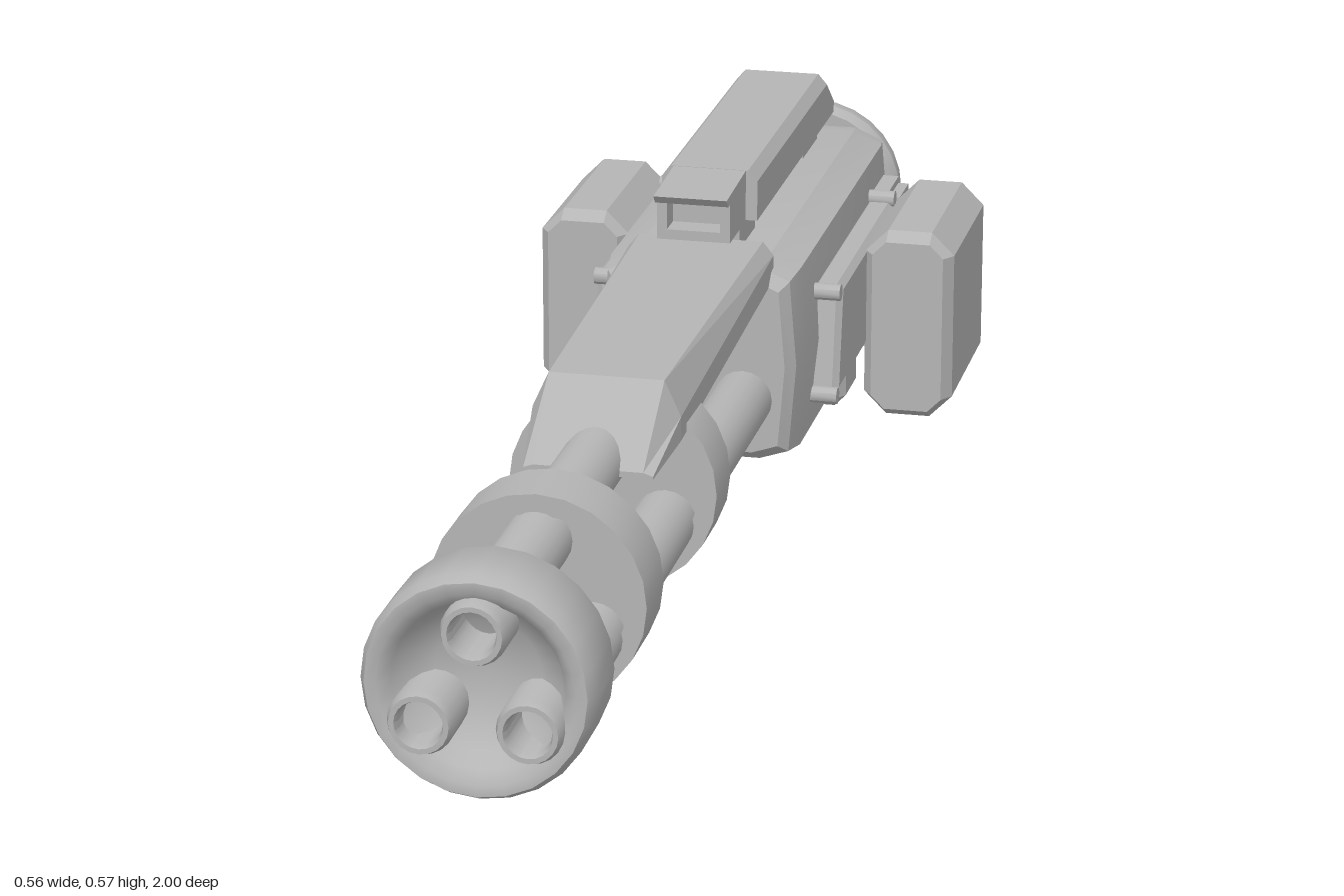
import * as THREE from 'three';
import { toCreasedNormals } from 'three/addons/utils/BufferGeometryUtils.js';

const gunmetal = new THREE.MeshStandardMaterial({ color: 0xb4b4b4, side: THREE.DoubleSide });
gunmetal.name = 'grey metal';

export function createModel() {
  const model = new THREE.Group();

  const add = (name, geometry, x = 0, y = 0, z = 0, crease = 0.6) => {
    const mesh = new THREE.Mesh(toCreasedNormals(geometry, crease), gunmetal);
    mesh.name = name;
    mesh.position.set(x, y, z);
    model.add(mesh);
    return mesh;
  };

  // Solid through matching counterclockwise xy sections, ordered by rising z
  const loft = (sections) => {
    const n = sections[0].pts.length, pos = [], idx = [];
    sections.forEach(({ z, pts }) => pts.forEach(([x, y]) => pos.push(x, y, z)));
    for (let s = 0; s < sections.length - 1; s++) {
      for (let i = 0; i < n; i++) {
        const a = s * n + i, b = s * n + (i + 1) % n;
        idx.push(a, b, b + n, a, b + n, a + n);
      }
    }
    const last = (sections.length - 1) * n;
    for (let i = 1; i < n - 1; i++) idx.push(0, i + 1, i, last, last + i, last + i + 1);
    const g = new THREE.BufferGeometry();
    g.setAttribute('position', new THREE.Float32BufferAttribute(pos, 3));
    g.setIndex(idx);
    return g;
  };

  // Box with cut corners and bevelled z ends, centred on the origin
  const chamferBox = (w, h, d, c, bx, bz = bx) => {
    const x = w / 2, y = h / 2;
    const outline = (i) => [[-x + c, -y + i], [x - c, -y + i], [x - i, -y + c], [x - i, y - c],
      [x - c, y - i], [-x + c, y - i], [-x + i, y - c], [-x + i, -y + c]];
    return loft([
      { z: -d / 2, pts: outline(bx) }, { z: -d / 2 + bz, pts: outline(0) },
      { z: d / 2 - bz, pts: outline(0) }, { z: d / 2, pts: outline(bx) },
    ]);
  };

  // Profile of [z, y] points given a thickness along x
  const sidePanel = (profile, width, bevel) => {
    const shape = new THREE.Shape(profile.map(([z, y]) => new THREE.Vector2(z, y)));
    const g = new THREE.ExtrudeGeometry(shape, {
      depth: width - 2 * bevel, bevelEnabled: bevel > 0, bevelSize: bevel,
      bevelThickness: bevel, bevelOffset: -bevel, bevelSegments: 1,
    });
    return g.translate(0, 0, -width / 2 + bevel).rotateY(-Math.PI / 2);
  };

  // Lathe turned to lie along z, profile of [radius, z]
  const turned = (profile, sides = 24) => new THREE.LatheGeometry(
    profile.map(([r, z]) => new THREE.Vector2(r, z)), sides).rotateX(Math.PI / 2);

  // Three hollow barrels
  [[0, 0.396], [-0.061, 0.287], [0.061, 0.287]].forEach(([x, y]) => {
    add('barrel', turned([[0.038, -0.15], [0.038, 0.99], [0.034, 1], [0.028, 1],
      [0.025, 0.99], [0.025, 0.9], [0, 0.9]], 20), x, y);
  });

  // Muzzle ring with a dished face, and two clamp rings
  add('muzzleRing', turned([[0, 0.91], [0.095, 0.9], [0.105, 0.885], [0.126, 0.885], [0.132, 0.893],
    [0.132, 0.975], [0.125, 0.988], [0.112, 0.988], [0.098, 0.975], [0.088, 0.95],
    [0.06, 0.93], [0, 0.92]]), 0, 0.328, 0, 0.9);
  [[0.63, 0.715], [0.27, 0.347]].forEach(([a, b]) => {
    add('clampRing', turned([[0, a + 0.015], [0.103, a + 0.015], [0.103, a], [0.127, a],
      [0.127, b], [0.103, b], [0.103, b - 0.015], [0, b - 0.015]]), 0, 0.328);
  });

  // Sloping shroud over the barrels
  const shroud = (z, w, t, bottom, mid, top) => ({ z, pts: [[-w, bottom], [w, bottom], [w, mid],
    [t, top], [-t, top], [-w, mid]] });
  add('barrelShroud', loft([
    shroud(-0.14, 0.094, 0.08, 0.44, 0.472, 0.489),
    shroud(0.375, 0.09, 0.07, 0.405, 0.435, 0.479),
    shroud(0.47, 0.078, 0.066, 0.39, 0.393, 0.397),
  ]), 0, 0, 0, 0.1);

  // Main receiver with bevelled ends
  const section = (z, k) => ({
    z, pts: [[-0.085, -0.135], [0.085, -0.135], [0.124, -0.122], [0.134, 0], [0.124, 0.117],
      [0.085, 0.134], [-0.085, 0.134], [-0.124, 0.117], [-0.134, 0], [-0.124, -0.122]]
      .map(([x, y]) => [x * k, 0.332 + y * k]),
  });
  add('receiver', loft([section(-0.785, 0.82), section(-0.765, 0.94), section(-0.72, 1),
    section(-0.17, 1), section(-0.125, 0.95), section(-0.11, 0.86)]), 0, 0, 0, 0.3);

  // Equipment on both flanks
  for (const s of [-1, 1]) {
    add('sidePlate', sidePanel([[-0.65, 0.262], [-0.225, 0.262], [-0.25, 0.402], [-0.65, 0.402]],
      0.04, 0.008), s * 0.142, 0, 0, 0.2);
    add('ammoBox', chamferBox(0.118, 0.255, 0.265, 0.03, 0.012, 0.018), s * 0.219, 0.298, -0.535, 0.2);
    add('boxMount', new THREE.BoxGeometry(0.05, 0.14, 0.16), s * 0.15, 0.32, -0.535);
    [[0.26, -0.225], [0.395, -0.24], [0.405, -0.62], [0.25, -0.62]].forEach(([y, z]) => {
      add('sideBolt', new THREE.CylinderGeometry(0.011, 0.011, 0.05, 12).rotateZ(Math.PI / 2),
        s * 0.137, y, z);
    });
    add('ventBase', new THREE.BoxGeometry(0.026, 0.09, 0.07), s * 0.136, 0.362, -0.683);
    for (let i = 0; i < 5; i++) {
      add('ventFin', new THREE.BoxGeometry(0.016, 0.008, 0.066), s * 0.155, 0.33 + i * 0.016, -0.683);
    }
  }

  // Carry rail on two feet, with a framed sight opening in front
  const rail = (z, w, t, top) => ({ z, pts: [[-w, 0.5], [w, 0.5], [w, 0.552], [t, top], [-t, top], [-w, 0.552]] });
  add('topRail', loft([rail(-0.69, 0.062, 0.056, 0.553), rail(-0.645, 0.062, 0.05, 0.566),
    rail(-0.19, 0.062, 0.05, 0.566)].map((sec, i) => i === 0
    ? { z: -0.695, pts: sec.pts.map(([x, y]) => [x, Math.min(y, 0.515)]) } : sec)), 0, 0, 0, 0.1);
  [-0.22, -0.628].forEach((z) => add('railFoot', new THREE.BoxGeometry(0.086, 0.06, 0.095), 0, 0.478, z));
  add('sightRoof', sidePanel([[-0.2, 0.549], [-0.085, 0.549], [-0.075, 0.56], [-0.2, 0.566]], 0.094, 0), 0, 0, 0, 0.1);
  add('sightFloor', new THREE.BoxGeometry(0.094, 0.013, 0.1), 0, 0.505, -0.145);
  add('sightBack', new THREE.BoxGeometry(0.07, 0.04, 0.06), 0, 0.53, -0.16);
  for (const s of [-1, 1]) {
    add('sightWall', new THREE.BoxGeometry(0.013, 0.05, 0.1), s * 0.0405, 0.53, -0.145);
  }

  // Rear disc with a circle of bolts
  add('rearDisc', turned([[0, -0.9], [0.105, -0.9], [0.115, -0.905], [0.121, -0.895], [0.121, -0.878],
    [0.112, -0.867], [0, -0.867]], 28), 0, 0.335);
  for (let i = 0; i < 6; i++) {
    const a = Math.PI / 6 + i * Math.PI / 3;
    add('discBolt', new THREE.CylinderGeometry(0.012, 0.012, 0.02, 10).rotateX(Math.PI / 2),
      Math.cos(a) * 0.078, 0.335 + Math.sin(a) * 0.078, -0.908);
  }

  // Bracket carrying the disc and the hand grip
  add('rearBracket', sidePanel([[-0.91, 0.18], [-0.895, 0.168], [-0.735, 0.168], [-0.71, 0.21],
    [-0.75, 0.24], [-0.84, 0.24], [-0.865, 0.268], [-0.91, 0.268]], 0.11, 0.012), 0, 0, 0, 0.3);
  add('handGrip', chamferBox(0.086, 0.205, 0.1, 0.016, 0.008, 0.012), 0, 0.1025, -0.945, 0.2);

  return model;
}
